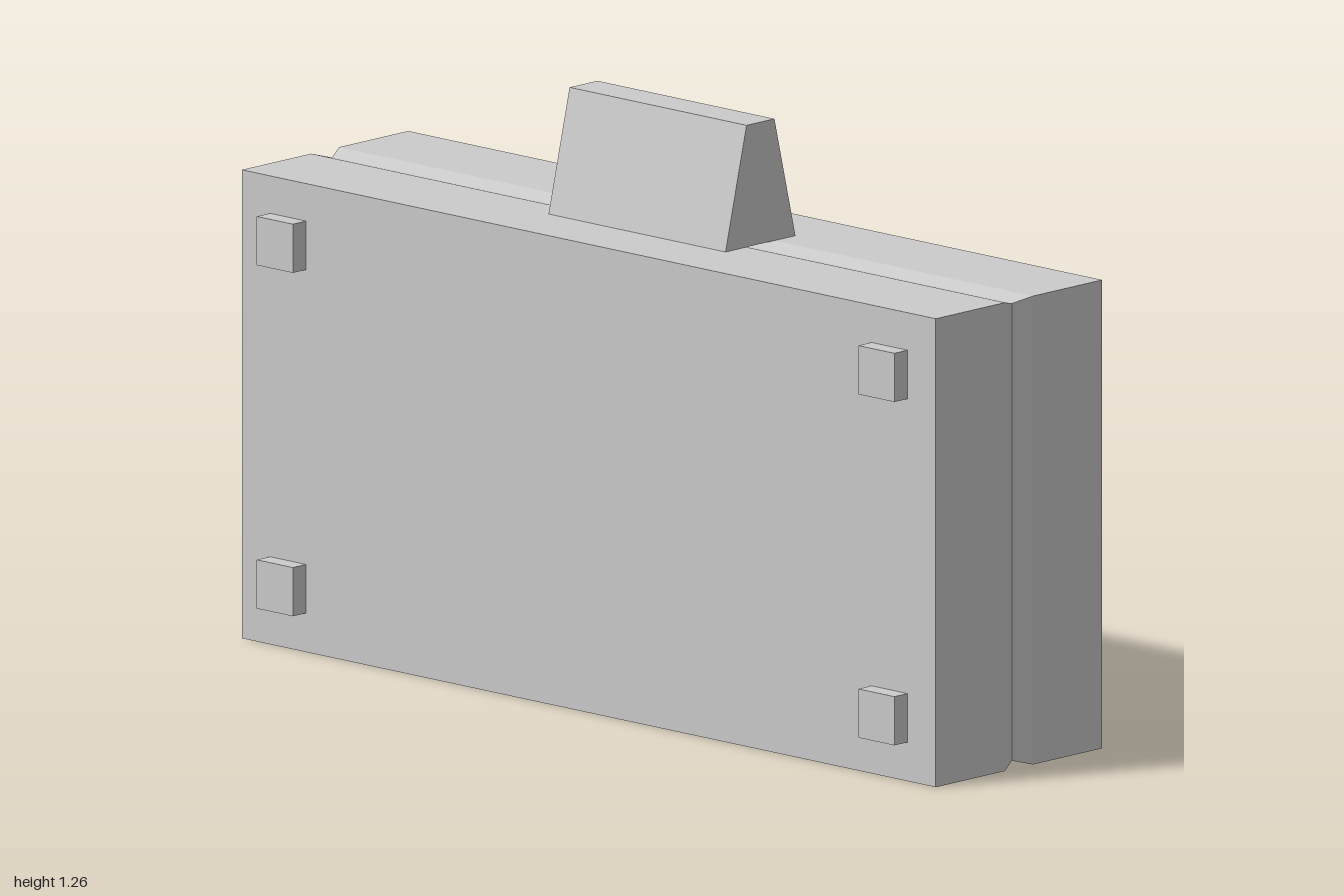
import * as THREE from 'three';

const material = new THREE.MeshStandardMaterial({ color: 0xcccccc, flatShading: true });

// Box whose vertices are moved by a rule, with hard facets
function shapedBox(name, size, segments, rule) {
  const box = new THREE.BoxGeometry(...size, ...segments);
  const pos = box.attributes.position;
  const v = new THREE.Vector3();
  for (let i = 0; i < pos.count; i++) {
    v.fromBufferAttribute(pos, i);
    rule(v);
    pos.setXYZ(i, v.x, v.y, v.z);
  }
  const geometry = box.toNonIndexed();
  geometry.computeVertexNormals();
  const mesh = new THREE.Mesh(geometry, material);
  mesh.name = name;
  return mesh;
}

export function createModel() {
  const model = new THREE.Group();
  model.name = 'case';

  // Case body with a shallow V groove running round the seam
  const body = shapedBox('body', [2, 1, 0.5], [1, 1, 4], (v) => {
    if (Math.abs(v.z) < 0.01) {
      v.x *= 0.98;
      v.y *= 0.976;
    } else if (Math.abs(v.z) < 0.2) {
      v.z = Math.sign(v.z) * 0.042;
    }
  });
  body.position.y = 0.5;
  model.add(body);

  // Handle tapering towards the top
  const handle = shapedBox('handle', [0.51, 0.26, 0.21], [1, 1, 1], (v) => {
    if (v.y > 0) v.z *= 0.4;
  });
  handle.position.y = 1.13;
  model.add(handle);

  // Square studs near the corners of the front and back
  const studs = new THREE.Group();
  studs.name = 'studs';
  const studGeometry = new THREE.BoxGeometry(0.104, 0.104, 0.04);
  for (const z of [-0.27, 0.27]) {
    for (const x of [-0.867, 0.867]) {
      for (const y of [0.135, 0.868]) {
        const stud = new THREE.Mesh(studGeometry, material);
        stud.name = 'stud';
        stud.position.set(x, y, z);
        studs.add(stud);
      }
    }
  }
  model.add(studs);

  return model;
}
